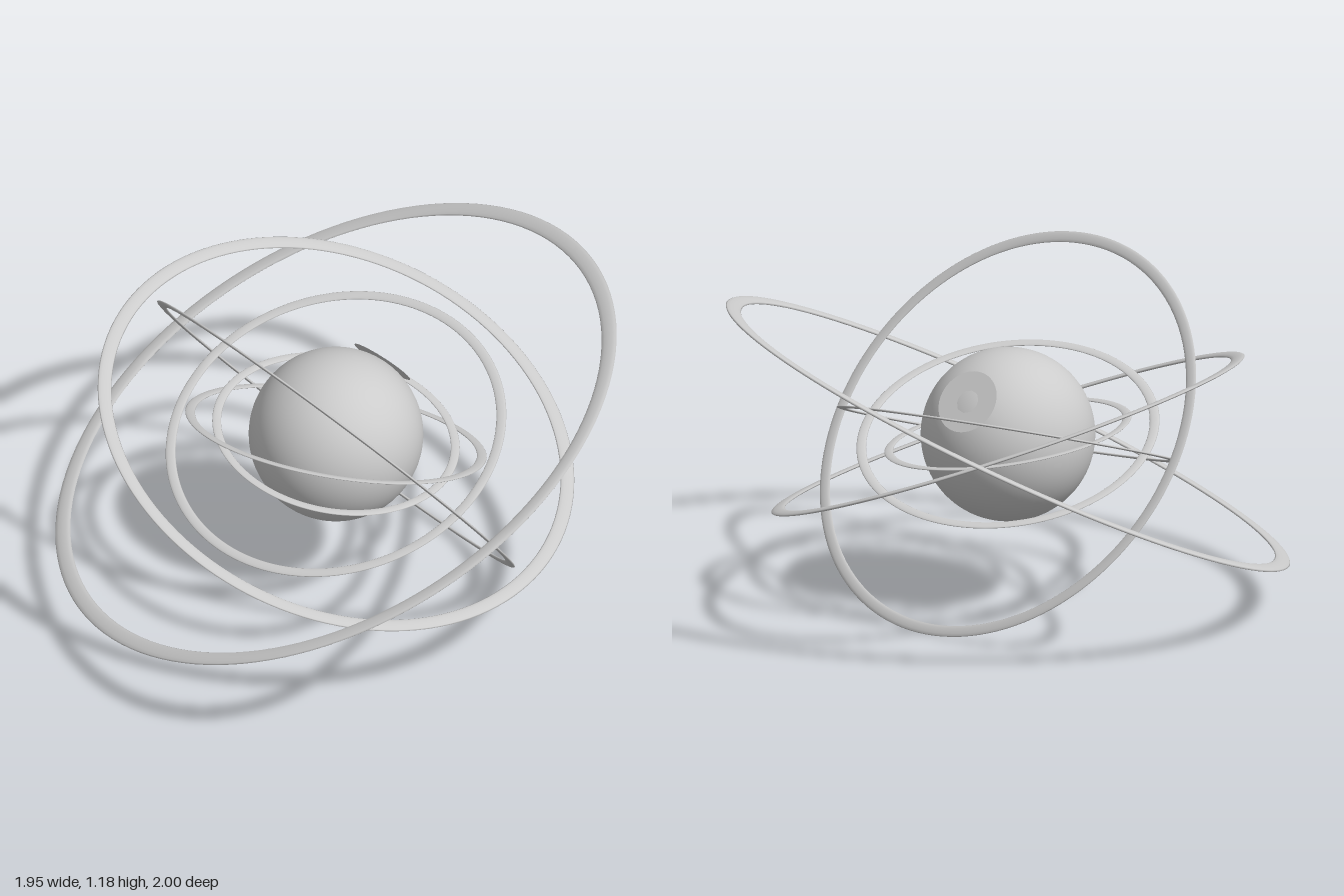
import * as THREE from 'three';

const CENTER_Y = 0.595;
const SPHERE_R = 0.292;

// name, outer radius, band width, plane normal
const RINGS = [
  ['outermostRing', 1.039, 0.056, [-0.341, 0.9, -0.273]],
  ['wideRing', 0.833, 0.048, [0.035, 0.93, 0.36]],
  ['steepRing', 0.745, 0.04, [0.788, 0.607, 0.1]],
  ['thirdInnerRing', 0.58, 0.034, [-0.345, 0.937, 0.05]],
  ['secondInnerRing', 0.51, 0.033, [0.36, 0.925, -0.11]],
  ['innermostRing', 0.418, 0.03, [0.06, 0.988, 0.14]],
];

export function createModel() {
  const group = new THREE.Group();
  const grey = new THREE.MeshStandardMaterial({ color: 0xcccccc });
  const greyThin = new THREE.MeshStandardMaterial({ color: 0xcccccc, side: THREE.DoubleSide });
  const zAxis = new THREE.Vector3(0, 0, 1);

  const add = (name, geometry, material) => {
    const mesh = new THREE.Mesh(geometry, material);
    mesh.name = name;
    mesh.position.y = CENTER_Y;
    group.add(mesh);
    return mesh;
  };

  // Central globe
  add('globe', new THREE.SphereGeometry(SPHERE_R, 64, 48), grey);

  // Flat disc on the globe's upper side, the globe just breaking through its middle
  const discDir = new THREE.Vector3(0.81, 0.586, 0).normalize();
  const disc = add('globeDisc', new THREE.CircleGeometry(0.11, 48), greyThin);
  disc.quaternion.setFromUnitVectors(zAxis, discDir);
  disc.position.addScaledVector(discDir, 0.289);

  // Flattened orbit rings, each in its own tilted plane
  for (const [name, outer, width, normal] of RINGS) {
    const geometry = new THREE.TorusGeometry(outer - width / 2, width / 2, 12, 128);
    geometry.scale(1, 1, 0.25);
    const ring = add(name, geometry, grey);
    ring.quaternion.setFromUnitVectors(zAxis, new THREE.Vector3(...normal).normalize());
  }
  return group;
}
